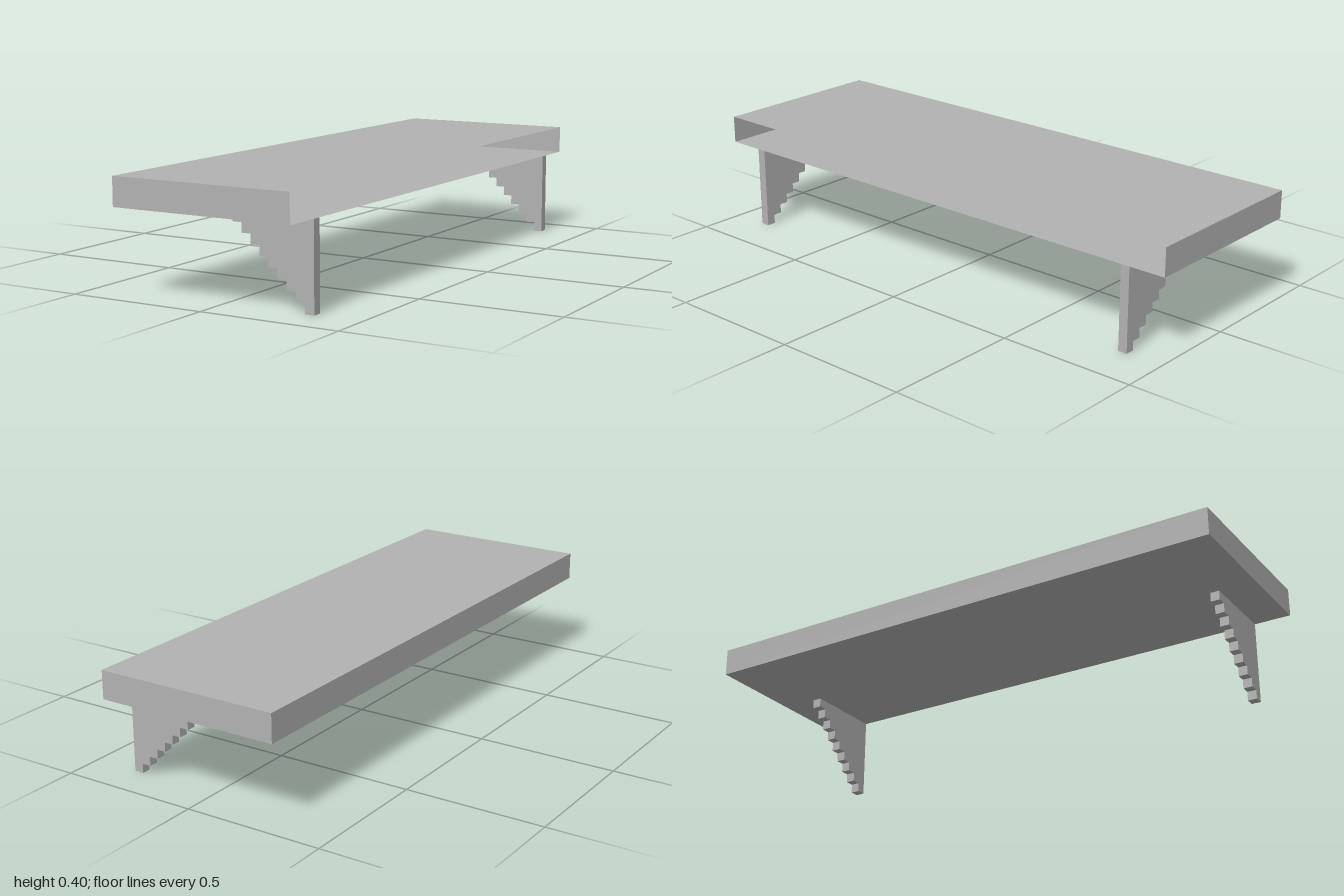
import * as THREE from 'three';

const UNIT = 1 / 30; // size of one stair step
const STEPS = 9;

// Hollow board, left open along its +x side
function createShelf(material) {
  const geometry = new THREE.BoxGeometry(20 * UNIT, 3 * UNIT, 2);
  geometry.setIndex(Array.from(geometry.index.array).slice(6)); // drop the +x face
  geometry.clearGroups();
  const shelf = new THREE.Mesh(geometry, material);
  shelf.name = 'shelfBoard';
  shelf.position.y = 10.5 * UNIT;
  return shelf;
}

// Stepped bracket profile, extruded one unit thick
function createBracketGeometry() {
  const back = 10 * UNIT;
  const shape = new THREE.Shape();
  shape.moveTo(back, 0);
  shape.lineTo(back, STEPS * UNIT);
  for (let i = STEPS; i > 0; i--) {
    const x = back - i * UNIT;
    shape.lineTo(x, i * UNIT);
    shape.lineTo(x, (i - 1) * UNIT);
  }
  const geometry = new THREE.ExtrudeGeometry(shape, { depth: UNIT, bevelEnabled: false });
  geometry.translate(0, 0, -UNIT / 2);
  return geometry;
}

export function createModel() {
  const model = new THREE.Group();
  model.name = 'wallShelf';
  const grey = new THREE.MeshStandardMaterial({ color: 0xb2b2b2, side: THREE.DoubleSide });
  grey.name = 'grey';

  model.add(createShelf(grey));

  // Front and rear brackets
  const bracketGeometry = createBracketGeometry();
  for (const [name, z] of [['frontBracket', 0.85], ['rearBracket', -0.85]]) {
    const bracket = new THREE.Mesh(bracketGeometry, grey);
    bracket.name = name;
    bracket.position.z = z;
    model.add(bracket);
  }
  return model;
}
